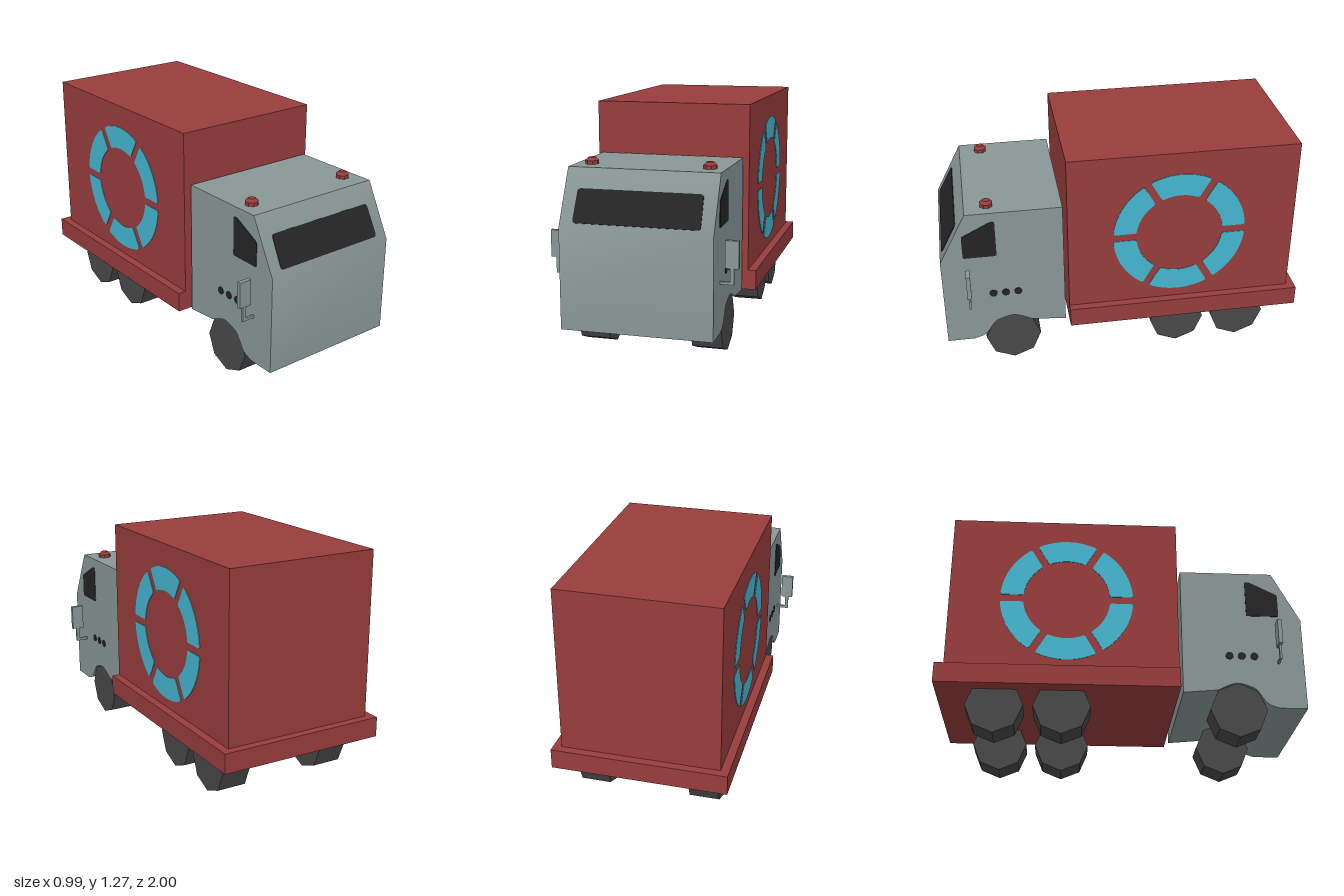
import * as THREE from 'three';
import { toCreasedNormals } from 'three/addons/utils/BufferGeometryUtils.js';

const paint = (name, color) => {
  const m = new THREE.MeshStandardMaterial({ color });
  m.name = name;
  return m;
};

export function createModel() {
  const red = paint('red', 0x983c3c);
  const grey = paint('grey', 0x899797);
  const rubber = paint('rubber', 0x484848);
  const black = paint('black', 0x242424);
  const cyan = paint('cyan', 0x45b6d0);

  const truck = new THREE.Group();
  truck.name = 'truck';

  const add = (name, geometry, material, x = 0, y = 0, z = 0) => {
    const mesh = new THREE.Mesh(geometry, material);
    mesh.name = name;
    mesh.position.set(x, y, z);
    truck.add(mesh);
    return mesh;
  };
  // Box from its low and high corners
  const box = (name, material, [x0, y0, z0], [x1, y1, z1]) =>
    add(name, new THREE.BoxGeometry(Math.abs(x1 - x0), y1 - y0, z1 - z0), material,
      (x0 + x1) / 2, (y0 + y1) / 2, (z0 + z1) / 2);

  // Shape drawn in (z, y), extruded across x and centred on x = 0
  const sideways = (shape, depth) => {
    const g = new THREE.ExtrudeGeometry(shape, { depth, bevelEnabled: false, curveSegments: 16 });
    return g.translate(0, 0, -depth / 2).rotateY(-Math.PI / 2);
  };

  // Polygon with rounded corners
  const rounded = (points, r) => {
    const p = points.map(([x, y]) => new THREE.Vector2(x, y));
    const shape = new THREE.Shape();
    p.forEach((corner, i) => {
      const toward = (q) => q.clone().sub(corner).setLength(r).add(corner);
      const a = toward(p[(i + p.length - 1) % p.length]);
      const b = toward(p[(i + 1) % p.length]);
      if (i === 0) shape.moveTo(a.x, a.y);
      else shape.lineTo(a.x, a.y);
      shape.quadraticCurveTo(corner.x, corner.y, b.x, b.y);
    });
    shape.closePath();
    return shape;
  };

  // Cab with sloped windscreen and wheel arch
  const cab = new THREE.Shape();
  cab.moveTo(1, 0.165);
  cab.lineTo(1, 0.695);
  cab.lineTo(0.85, 0.985);
  cab.lineTo(0.33, 0.985);
  cab.lineTo(0.33, 0.245);
  cab.lineTo(0.52, 0.263);
  cab.splineThru([[0.58, 0.293], [0.63, 0.305], [0.69, 0.29], [0.73, 0.268], [0.785, 0.192], [0.85, 0.165]]
    .map(([z, y]) => new THREE.Vector2(z, y)));
  cab.closePath();
  add('cab', toCreasedNormals(sideways(cab, 0.8), 0.5), grey);

  // Windscreen lying on the slope
  const screen = rounded([[-0.332, 0.03], [0.332, 0.03], [0.328, 0.213], [-0.328, 0.213]], 0.02);
  const windscreen = add('windscreen',
    new THREE.ExtrudeGeometry(screen, { depth: 0.004, bevelEnabled: false }), black, 0, 0.695, 1);
  windscreen.rotation.x = -Math.atan2(0.15, 0.29);

  // Cargo body
  box('cargoBox', red, [-0.43, 0.355, -0.955], [0.43, 1.27, 0.31]);
  box('cargoBed', red, [-0.475, 0.245, -1], [0.475, 0.355, 0.31]);

  // One of the six ring pieces, with parallel gaps and softened corners
  const ringPiece = (middle) => {
    const R = 0.368, r = 0.24, gap = 0.021, soft = 0.014;
    const end = (rad) => Math.PI / 6 - Math.asin(gap / rad);
    const at = (rad, angle) => [rad * Math.cos(middle + angle), rad * Math.sin(middle + angle)];
    const s = new THREE.Shape();
    const ao = end(R) - soft / R, ai = end(r) - soft / r;
    s.moveTo(...at(R, -ao));
    s.absarc(0, 0, R, middle - ao, middle + ao, false);
    s.quadraticCurveTo(...at(R, end(R)), ...at(R - soft, end(R - soft)));
    s.lineTo(...at(r + soft, end(r + soft)));
    s.quadraticCurveTo(...at(r, end(r)), ...at(r, ai));
    s.absarc(0, 0, r, middle + ai, middle - ai, true);
    s.quadraticCurveTo(...at(r, -end(r)), ...at(r + soft, -end(r + soft)));
    s.lineTo(...at(R - soft, -end(R - soft)));
    s.quadraticCurveTo(...at(R, -end(R)), ...at(R, -ao));
    return s;
  };
  const ring = [0, 1, 2, 3, 4, 5].map((i) => ringPiece(Math.PI / 6 + i * Math.PI / 3));
  const ringGeometry = sideways(ring, 0.006);

  const windowGeometry = sideways(rounded(
    [[0.695, 0.715], [0.877, 0.715], [0.877, 0.85], [0.72, 0.93], [0.695, 0.93]], 0.012), 0.006);
  const dotGeometry = new THREE.CylinderGeometry(0.022, 0.022, 0.006, 16).rotateZ(Math.PI / 2);

  // Octagonal wheel with a corner pointing down
  const wheelGeometry = toCreasedNormals(
    new THREE.CylinderGeometry(0.155, 0.155, 0.165, 8).rotateZ(Math.PI / 2), 0.3);

  // Faceted roof light
  const beaconGeometry = toCreasedNormals(new THREE.LatheGeometry(
    [[0.036, 0.97], [0.036, 1.004], [0.02, 1.02], [0, 1.02]].map(([x, y]) => new THREE.Vector2(x, y)), 8)
    .rotateY(Math.PI / 8), 0.3);

  for (const s of [1, -1]) {
    const side = s > 0 ? 'left' : 'right';
    add(side + 'Ring', ringGeometry, cyan, s * 0.43, 0.775, -0.307);
    add(side + 'Window', windowGeometry, black, s * 0.4);
    for (const z of [0.727, 0.658, 0.59]) add(side + 'Vent', dotGeometry, black, s * 0.4, 0.468, z);
    for (const z of [0.63, -0.32, -0.68]) add(side + 'Wheel', wheelGeometry, rubber, s * 0.3075, 0.155, z);
    add(side + 'RoofLight', beaconGeometry, red, s * 0.315, 0, 0.73);

    // Mirror on its bent arm
    box(side + 'Mirror', grey, [s * 0.427, 0.51, 0.847], [s * 0.497, 0.653, 0.87]);
    box(side + 'MirrorPost', grey, [s * 0.452, 0.425, 0.853], [s * 0.472, 0.51, 0.865]);
    box(side + 'MirrorArm', grey, [s * 0.395, 0.425, 0.853], [s * 0.452, 0.44, 0.865]);
  }
  return truck;
}
